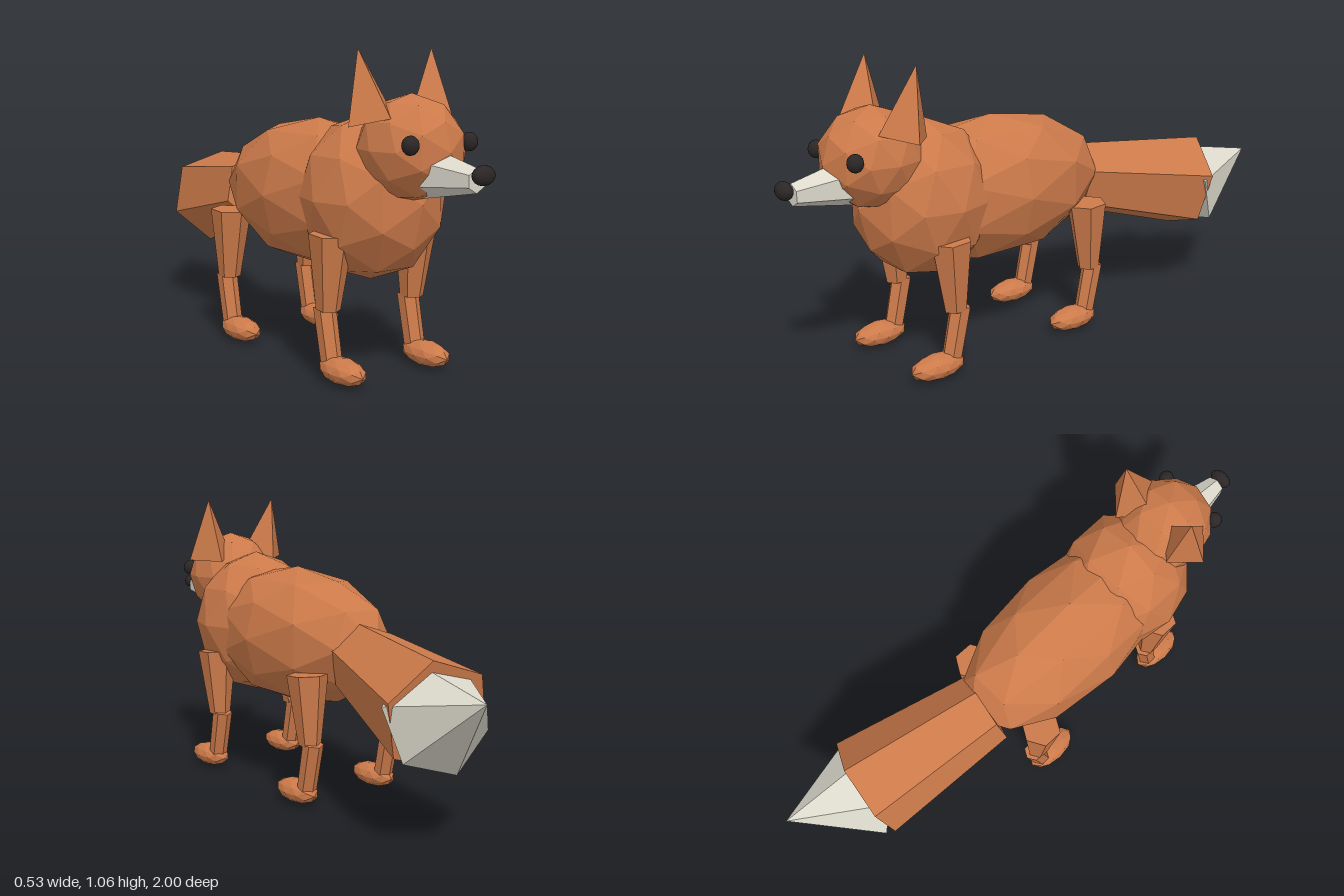
import * as THREE from 'three';

const material = (name, color) => {
  const m = new THREE.MeshStandardMaterial({ color, flatShading: true });
  m.name = name;
  return m;
};

export function createModel() {
  const fur = material('orange fur', 0xcc7a4a);
  const cream = material('cream fur', 0xdcd9cc);
  const dark = material('dark nose and eyes', 0x2c2626);

  const model = new THREE.Group();
  model.name = 'fox';
  const midX = -0.02; // symmetry plane of the animal (the tail swings to one side)

  const add = (name, geometry, mat) => {
    const mesh = new THREE.Mesh(geometry, mat);
    mesh.name = name;
    model.add(mesh);
    return mesh;
  };

  // Faceted ellipsoid
  const blob = (name, mat, center, radii, detail = 1) => {
    const mesh = add(name, new THREE.IcosahedronGeometry(1, detail), mat);
    mesh.position.set(...center);
    mesh.scale.set(...radii);
    return mesh;
  };

  // Tapered prism between two points
  const limb = (name, mat, from, to, r0, r1, sides = 6) => {
    const a = new THREE.Vector3(...from);
    const b = new THREE.Vector3(...to);
    const axis = b.clone().sub(a);
    const mesh = add(name, new THREE.CylinderGeometry(r1, r0, axis.length(), sides), mat);
    mesh.position.copy(a).add(b).multiplyScalar(0.5);
    mesh.quaternion.setFromUnitVectors(new THREE.Vector3(0, 1, 0), axis.normalize());
    return mesh;
  };

  // Torso: long body (turned a quarter so its facets run lengthwise) and chest
  const body = blob('body', fur, [midX, 0.563, 0.18], [0.475, 0.256, 0.235]);
  body.rotation.y = Math.PI / 2;
  blob('chest', fur, [midX, 0.58, 0.47], [0.235, 0.275, 0.25]);

  // Head, muzzle and nose
  blob('head', fur, [midX, 0.75, 0.66], [0.165, 0.17, 0.18]);
  limb('muzzle', cream, [midX, 0.685, 0.73], [midX, 0.68, 0.95], 0.083, 0.037);
  blob('nose', dark, [midX, 0.698, 0.975], [0.041, 0.03, 0.025], 2);

  for (const [side, s] of [['left', 1], ['right', -1]]) {
    blob(side + 'Eye', dark, [midX + s * 0.117, 0.775, 0.793], [0.027, 0.03, 0.027], 2);
    limb(side + 'Ear', fur, [midX + s * 0.122, 0.832, 0.62],
      [midX + s * 0.148, 1.057, 0.58], 0.092, 0, 4);

    // Legs: thigh, shin and paw
    for (const [end, dz] of [['Front', 0], ['Hind', -0.61]]) {
      const x = midX + s * 0.175;
      const name = side + end;
      limb(name + 'Thigh', fur, [x, 0.475, 0.487 + dz], [x, 0.227, 0.473 + dz], 0.073, 0.04);
      limb(name + 'Shin', fur, [x, 0.235, 0.453 + dz], [x, 0.06, 0.492 + dz], 0.037, 0.035);
      blob(name + 'Paw', fur, [x, 0.044, 0.55 + dz], [0.055, 0.042, 0.105]);
    }
  }

  // Tail swinging to the left, with a pale tip that turns up
  limb('tail', fur, [-0.015, 0.525, -0.22], [0.09, 0.432, -0.72], 0.132, 0.189);
  limb('tailTip', cream, [0.095, 0.425, -0.715], [0.165, 0.53, -1.0], 0.184, 0);

  return model;
}
